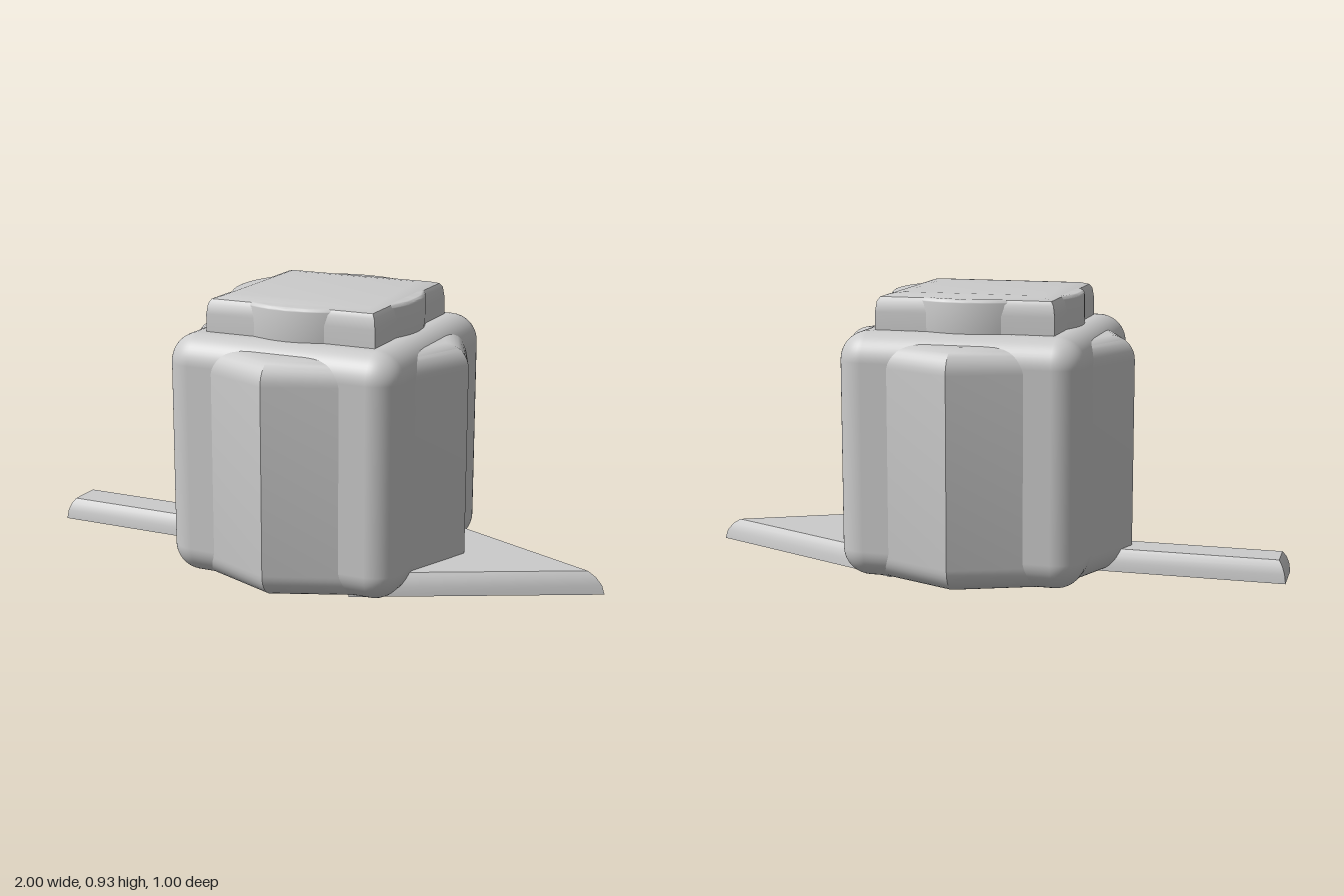
import * as THREE from 'three';
import { toCreasedNormals } from 'three/addons/utils/BufferGeometryUtils.js';
import { RoundedBoxGeometry } from 'three/addons/geometries/RoundedBoxGeometry.js';

const CX = 0.022; // the body sits slightly off centre
const material = new THREE.MeshStandardMaterial({ color: 0xcccccc });

// Moves every edge of a convex [x, z] outline inwards by d
function inset(outline, d) {
  const n = outline.length;
  const normal = (a, b) => {
    const dx = b[0] - a[0], dz = b[1] - a[1], l = Math.hypot(dx, dz);
    return [-dz / l, dx / l];
  };
  return outline.map((p, i) => {
    const m = normal(outline[(i + n - 1) % n], p);
    const k = normal(p, outline[(i + 1) % n]);
    const s = d / (1 + m[0] * k[0] + m[1] * k[1]);
    return [p[0] - s * (m[0] + k[0]), p[1] - s * (m[1] + k[1])];
  });
}

// Prism through levels of [y, inset]; outline runs counter-clockwise from above
function bevelledPrism(outline, levels) {
  const n = outline.length, pos = [], idx = [];
  for (const [y, d] of levels) for (const [x, z] of inset(outline, d)) pos.push(x, y, z);
  for (let l = 0; l < levels.length - 1; l++) {
    for (let i = 0; i < n; i++) {
      const a = l * n + i, b = l * n + (i + 1) % n;
      idx.push(a, b, b + n, a, b + n, a + n);
    }
  }
  const t = (levels.length - 1) * n;
  for (let i = 1; i < n - 1; i++) idx.push(0, i + 1, i, t, t + i, t + i + 1);
  const geo = new THREE.BufferGeometry();
  geo.setAttribute('position', new THREE.Float32BufferAttribute(pos, 3));
  geo.setIndex(idx);
  geo.computeVertexNormals();
  return toCreasedNormals(geo, 0.5);
}

// Lathe profile of a drum with rounded rims
function drumProfile(radius, y0, y1, rBottom, rTop) {
  const pts = [new THREE.Vector2(0, y0)];
  const arc = (cy, r, from) => {
    for (let i = 0; i <= 8; i++) {
      const a = from + (i / 8) * Math.PI / 2;
      pts.push(new THREE.Vector2(radius - r + r * Math.cos(a), cy + r * Math.sin(a)));
    }
  };
  arc(y0 + rBottom, rBottom, -Math.PI / 2);
  arc(y1 - rTop, rTop, 0);
  pts.push(new THREE.Vector2(0, y1));
  return pts;
}

export function createModel() {
  const model = new THREE.Group();
  const add = (name, geo, x = 0, y = 0) => {
    const mesh = new THREE.Mesh(geo, material);
    mesh.name = name;
    mesh.position.set(x, y, 0);
    model.add(mesh);
  };

  // Rounded square body crossed with an eight-sided drum
  add('body', new RoundedBoxGeometry(0.814, 0.812, 0.814, 6, 0.095), CX, 0.406);
  add('octagonalBody',
    toCreasedNormals(new THREE.LatheGeometry(drumProfile(0.5, 0, 0.782, 0.08, 0.08), 8), 0.5), CX);

  // Lid: softly bevelled square crossed with a round disc
  const h = 0.298;
  add('squareLid', bevelledPrism([[h, h], [h, -h], [-h, -h], [-h, h]],
    [[0.78, 0], [0.87, 0], [0.905, 0.005], [0.919, 0.014], [0.927, 0.04], [0.93, 0.075]]), CX);
  add('roundLid',
    toCreasedNormals(new THREE.LatheGeometry(drumProfile(0.323, 0.78, 0.921, 0.01, 0.015), 64), 0.5), CX);

  // Flat pointed plate and tail bar on the ground
  const bevel = [[0, 0], [0.03, 0.004], [0.055, 0.013], [0.073, 0.025]];
  add('pointedPlate', bevelledPrism([[1, -0.015], [0.26, -0.345], [0.26, 0.357]], bevel));
  add('tailBar', bevelledPrism([[0, 0.078], [0, -0.085], [-1, -0.085], [-1, 0.078]], bevel));

  return model;
}
